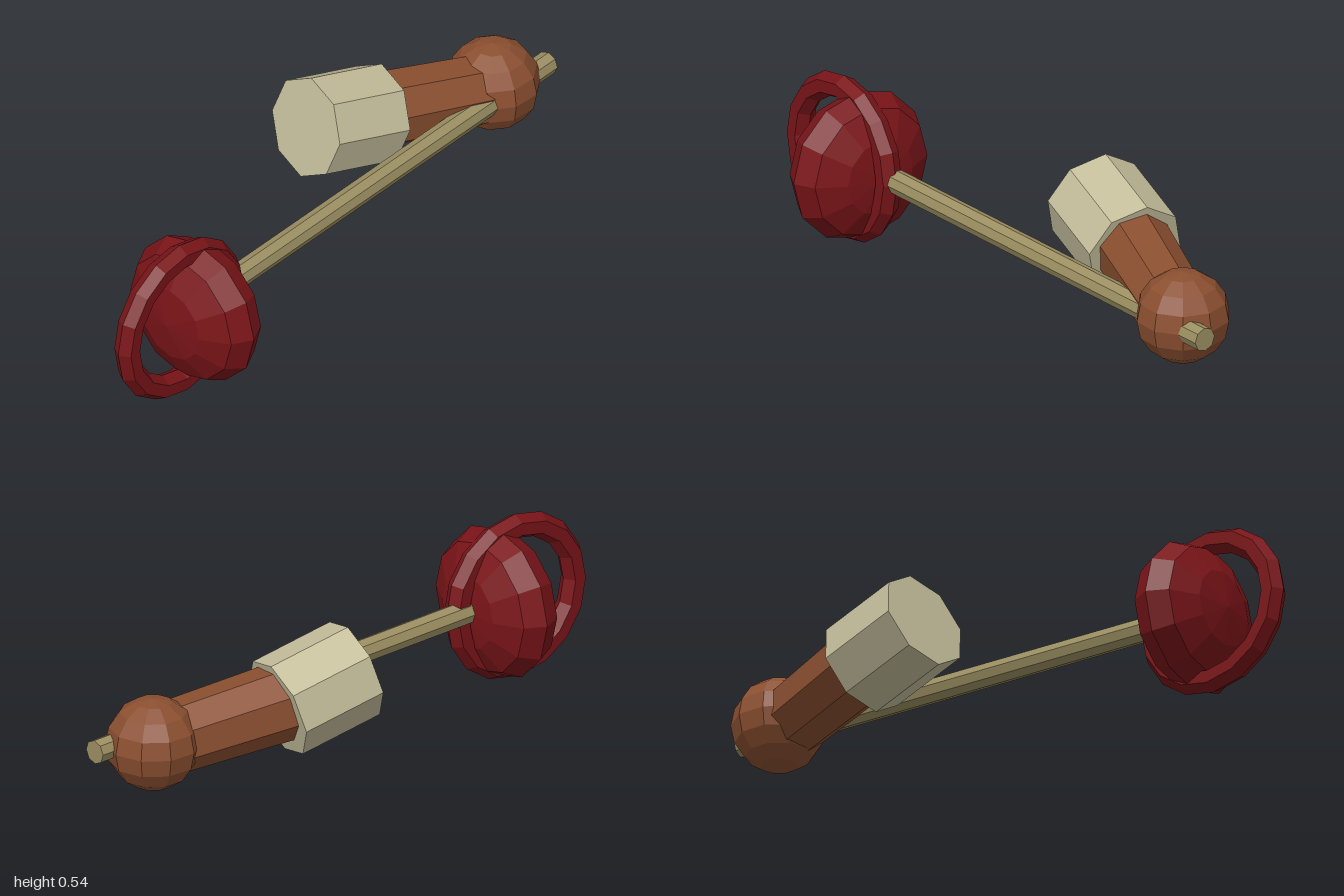
import * as THREE from 'three';

const mat = (color) => new THREE.MeshStandardMaterial({ color, flatShading: true });

export function createModel() {
  const group = new THREE.Group();
  const red = mat(0x7a1418), brown = mat(0x8b4f30), cream = mat(0xc4bd9b), wood = mat(0x9c8f62);

  const add = (name, geometry, material, x = 0, y = 0, z = 0) => {
    const mesh = new THREE.Mesh(geometry, material);
    mesh.name = name;
    mesh.position.set(x, y, z);
    group.add(mesh);
    return mesh;
  };

  // Eight-sided rod from point a (radius ra) to point b (radius rb)
  const rod = (name, a, b, ra, rb, material) => {
    const from = new THREE.Vector3(...a), to = new THREE.Vector3(...b);
    const dir = to.clone().sub(from);
    const mesh = add(name, new THREE.CylinderGeometry(rb, ra, dir.length(), 8), material);
    mesh.position.copy(from).add(to).multiplyScalar(0.5);
    mesh.quaternion.setFromUnitVectors(new THREE.Vector3(0, 1, 0), dir.normalize());
  };

  // Long shaft running front to back
  rod('shaft', [0.01, 0.275, -1], [0.1, 0.275, 0.6], 0.038, 0.038, wood);

  // Flattened bulb, its poles facing front and back
  const bulb = new THREE.SphereGeometry(0.243, 12, 6).rotateX(Math.PI / 2).scale(1, 1, 0.54);
  add('bulb', bulb, red, 0.107, 0.27, 0.66);

  // Upright ring with a six-sided section
  const ring = new THREE.TorusGeometry(0.23, 0.04, 6, 16).rotateY(Math.PI / 2);
  add('ring', ring, red, 0.107, 0.27, 0.733);

  // Knuckle at the rear, with a tapered arm leading into a wide cuff
  const knuckle = new THREE.SphereGeometry(0.147, 10, 8).rotateY(Math.PI / 2);
  add('knuckle', knuckle, brown, -0.043, 0.272, -0.813);
  rod('arm', [-0.035, 0.264, -0.8], [-0.165, 0.335, -0.35], 0.112, 0.124, brown);
  rod('cuff', [-0.152, 0.312, -0.413], [-0.191, 0.38, -0.143], 0.16, 0.16, cream);

  return group;
}
